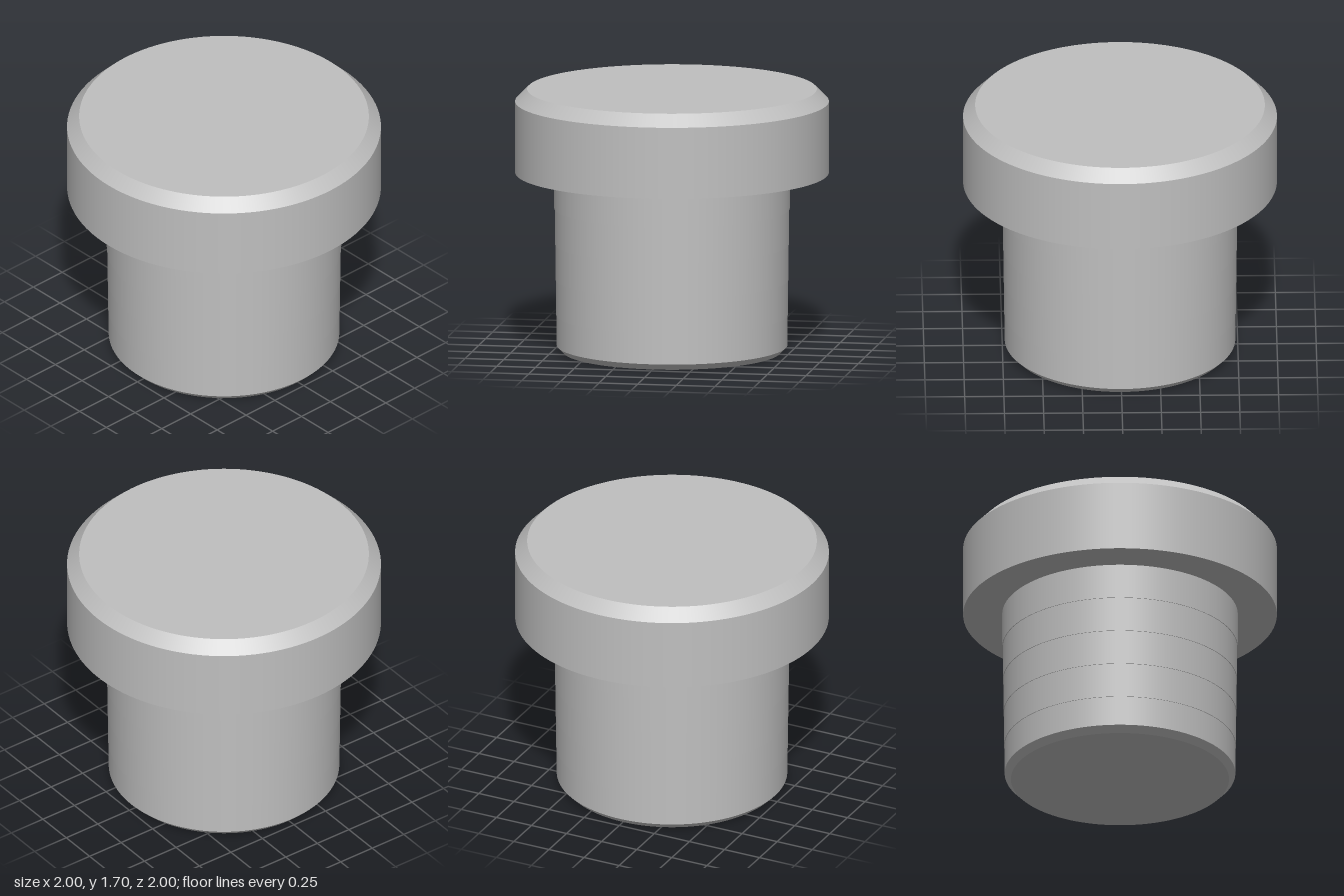
import * as THREE from 'three';
import { mergeGeometries } from 'three/addons/utils/BufferGeometryUtils.js';

const SEGMENTS = 128;

// Revolve a profile (bottom to top), one band per edge so every corner stays sharp
function turned(profile) {
  const bands = [];
  for (let i = 0; i < profile.length - 1; i++) {
    const pair = [profile[i], profile[i + 1]].map(([r, y]) => new THREE.Vector2(r, y));
    bands.push(new THREE.LatheGeometry(pair, SEGMENTS));
  }
  return mergeGeometries(bands);
}

export function createModel() {
  const group = new THREE.Group();
  group.name = 'plug';
  const grey = new THREE.MeshStandardMaterial({ color: 0xbfbfbf });
  grey.name = 'plain grey';

  const add = (name, profile) => {
    const mesh = new THREE.Mesh(turned(profile), grey);
    mesh.name = name;
    group.add(mesh);
  };

  // Shank: chamfered foot, then five bands that widen slightly toward the head
  const shank = [[0, 0], [0.695, 0], [0.735, 0.04]];
  const steps = [0.04, 0.237, 0.467, 0.697, 0.927, 1.157];
  for (let i = 0; i < 5; i++) {
    const r = 0.735 + i * 0.004;
    if (i > 0) shank.push([r, steps[i]]);
    shank.push([r, steps[i + 1]]);
  }
  add('shank', shank);

  // Head: flat underside, straight rim, chamfer and flat top
  add('head', [[0.751, 1.157], [1, 1.157], [1, 1.617], [0.923, 1.695], [0, 1.695]]);

  return group;
}
